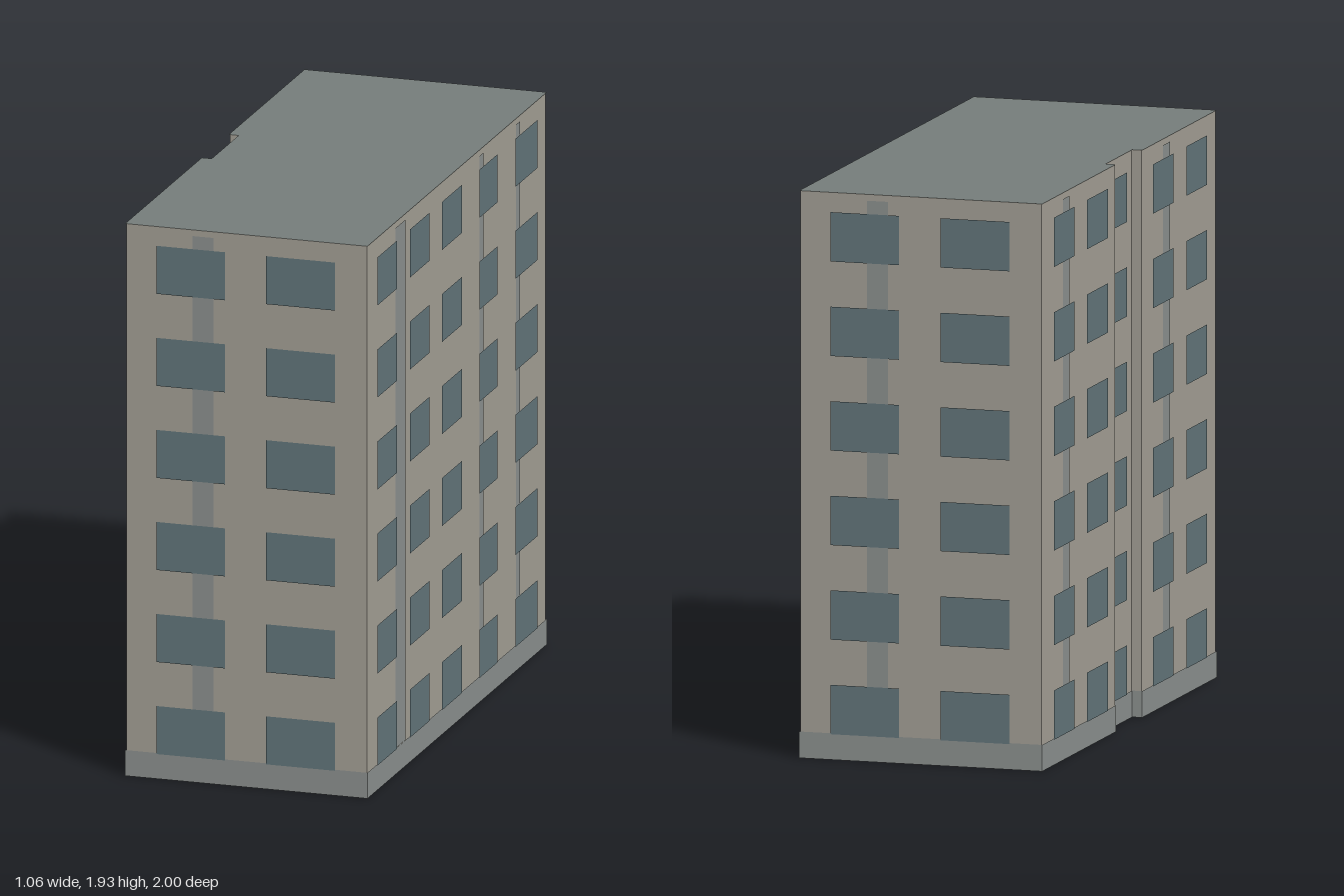
import * as THREE from 'three';
import { mergeGeometries } from 'three/addons/utils/BufferGeometryUtils.js';

const HW = 0.425, HL = 0.955, HEIGHT = 1.932, RECESS = 0.39;
const FLOORS = 6, FLOOR_STEP = 0.322, SILL = 0.087, PANE_H = 0.168;

const paint = (color) => new THREE.MeshStandardMaterial({ color, side: THREE.DoubleSide });

// Outline with a shallow recess in one long side, grown outwards by d
function footprint(d) {
  const w = HW + d, l = HL + d, r = RECESS + d;
  return [
    [-w, l], [w, l], [w, -l], [-w, -l],
    [-w, -0.152 + d], [-r, -0.152 + d], [-r, 0.142 - d], [-w, 0.142 - d],
  ];
}

// Upright band that follows the outline
function band(points, y0, y1) {
  return mergeGeometries(points.map(([ax, az], i) => {
    const [bx, bz] = points[(i + 1) % points.length];
    const dx = bx - ax, dz = bz - az;
    return new THREE.PlaneGeometry(Math.hypot(dx, dz), y1 - y0)
      .rotateY(Math.atan2(-dz, dx))
      .translate((ax + bx) / 2, (y0 + y1) / 2, (az + bz) / 2);
  }));
}

// Flat panel on a facade, spanning u0..u1 and y0..y1
const panel = (u0, u1, y0, y1, z) =>
  new THREE.PlaneGeometry(u1 - u0, y1 - y0).translate((u0 + u1) / 2, (y0 + y1) / 2, z);

export function createModel() {
  const building = new THREE.Group();
  building.name = 'building';
  const block = new THREE.Group();
  block.name = 'block';
  block.rotation.y = -0.11;
  building.add(block);

  const wallMat = paint(0xa39f95), trimMat = paint(0x8b908e);
  const glassMat = paint(0x62757a), roofMat = paint(0x757d7a);
  glassMat.side = trimMat.side = THREE.FrontSide;

  const add = (parent, name, geometry, material) => {
    const mesh = new THREE.Mesh(geometry, material);
    mesh.name = name;
    parent.add(mesh);
  };

  // Shell, open underneath
  add(block, 'walls', band(footprint(0), 0, HEIGHT), wallMat);
  add(block, 'plinth', band(footprint(0.003), 0, 0.09), trimMat);

  // Flat roof
  const outline = new THREE.Shape(footprint(0.003).map(([x, z]) => new THREE.Vector2(x, -z)));
  add(block, 'roof', new THREE.ShapeGeometry(outline).rotateX(-Math.PI / 2).translate(0, HEIGHT, 0), roofMat);

  // Facades: window columns and vertical strips, measured along each wall
  const endWindows = [[-0.317, -0.075], [0.071, 0.314]];
  const endStrips = [[-0.19, -0.116]];
  const facades = [
    { name: 'front', turn: 0, dist: HL, windows: endWindows, strips: endStrips },
    { name: 'back', turn: Math.PI, dist: HL, windows: endWindows, strips: endStrips },
    {
      name: 'longSide', turn: Math.PI / 2, dist: HW,
      windows: [[-0.858, -0.647], [-0.511, -0.3], [-0.169, 0.045], [0.233, 0.425], [0.616, 0.852]],
      strips: [[-0.657, -0.551], [0.243, 0.282], [0.634, 0.674]],
    },
    {
      name: 'recessedSide', turn: -Math.PI / 2, dist: HW,
      windows: [[-0.836, -0.611], [-0.47, -0.243], [0.254, 0.479], [0.621, 0.846]],
      strips: [[-0.728, -0.653], [0.372, 0.447]],
    },
    { name: 'recess', turn: -Math.PI / 2, dist: RECESS, windows: [[-0.065, 0.077]], strips: [] },
  ];

  for (const { name, turn, dist, windows, strips } of facades) {
    const facade = new THREE.Group();
    facade.name = name + 'Facade';
    facade.rotation.y = turn;
    block.add(facade);

    const panes = [];
    for (const [u0, u1] of windows) {
      for (let f = 0; f < FLOORS; f++) {
        const y = SILL + f * FLOOR_STEP;
        panes.push(panel(u0, u1, y, y + PANE_H, dist + 0.005));
      }
    }
    add(facade, name + 'Windows', mergeGeometries(panes), glassMat);

    if (strips.length) {
      const bars = strips.map(([u0, u1]) => panel(u0, u1, 0.09, 1.91, dist + 0.002));
      add(facade, name + 'Strips', mergeGeometries(bars), trimMat);
    }
  }
  return building;
}
